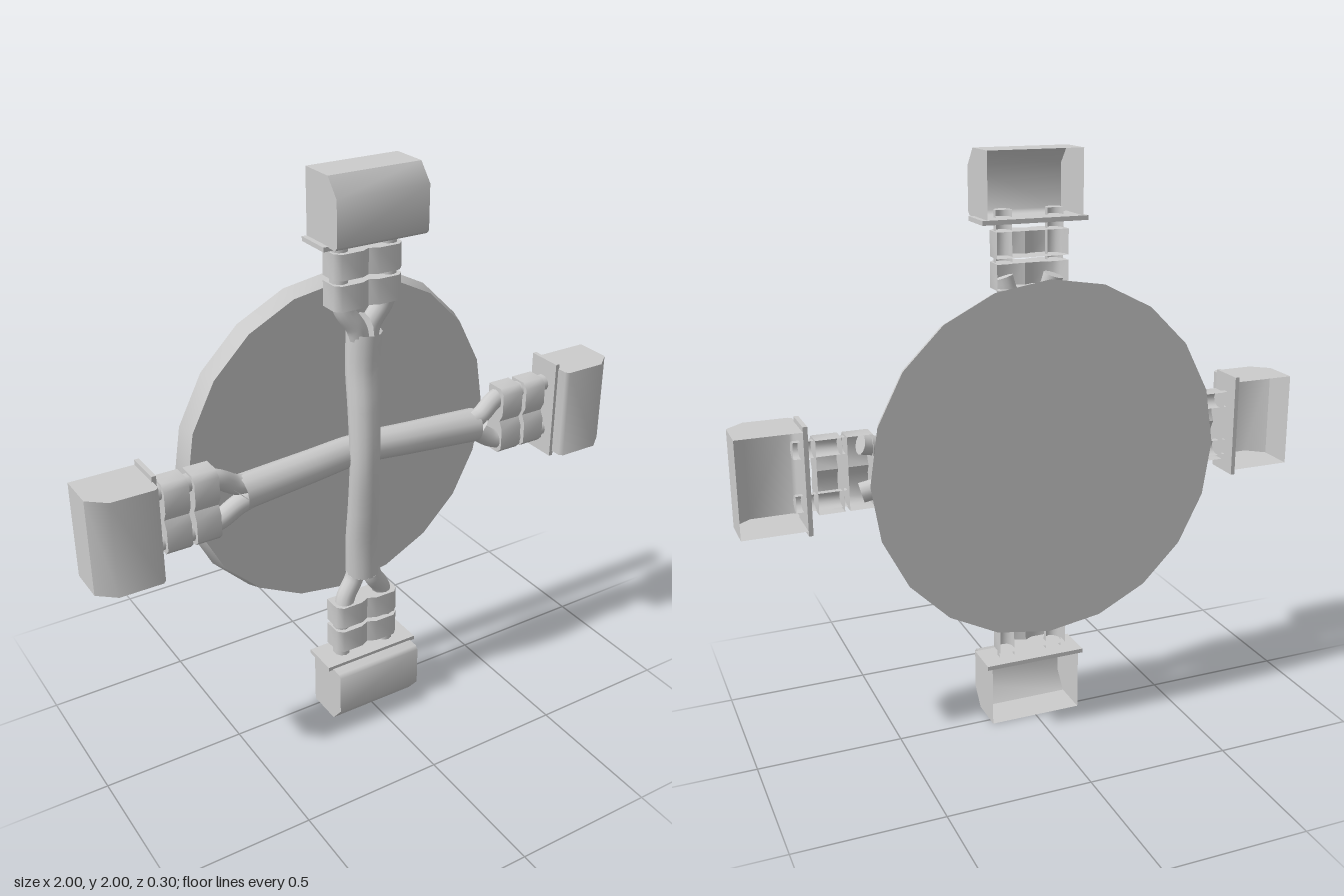
import * as THREE from 'three';
import { toCreasedNormals } from 'three/addons/utils/BufferGeometryUtils.js';

const material = new THREE.MeshStandardMaterial({ color: 0xcccccc, side: THREE.DoubleSide });
const ALONG_ARM = [[0, 1, 0], [0, 0, 1], [1, 0, 0]];
const ACROSS_ARM = [[1, 0, 0], [0, 0, 1], [0, -1, 0]];

function add(parent, name, geometry, x = 0, y = 0, z = 0) {
  const mesh = new THREE.Mesh(geometry, material);
  mesh.name = name;
  mesh.position.set(x, y, z);
  parent.add(mesh);
  return mesh;
}

// Extruded profile turned to the given axes, with its rearmost face left open
function openShell(profile, depth, axes) {
  const shape = new THREE.Shape(profile.map(([x, y]) => new THREE.Vector2(x, y)));
  const solid = new THREE.ExtrudeGeometry(shape, { depth, bevelEnabled: false });
  solid.applyMatrix4(new THREE.Matrix4().makeBasis(...axes.map(a => new THREE.Vector3(...a))));
  const p = solid.attributes.position;
  const back = Math.min(...profile.map(q => q[1]));
  const kept = [];
  for (let i = 0; i < p.count; i += 3) {
    const corners = [i, i + 1, i + 2];
    if (corners.every(k => p.getZ(k) < back + 1e-4)) continue;
    for (const k of corners) kept.push(p.getX(k), p.getY(k), p.getZ(k));
  }
  const geometry = new THREE.BufferGeometry();
  geometry.setAttribute('position', new THREE.Float32BufferAttribute(kept, 3));
  return toCreasedNormals(geometry, 0.85);
}

// Mirrors half of a profile about its middle
const mirrored = (half, middle) => [...half, middle, ...half.map(([x, y]) => [-x, y]).reverse()];

// Curved pipe with closed ends, widening from the middle to endRadius
function pipe(parent, name, points, midRadius, endRadius) {
  const sides = 12, rings = 24;
  const curve = new THREE.CatmullRomCurve3(points.map(p => new THREE.Vector3(...p)));
  const tube = new THREE.TubeGeometry(curve, rings, midRadius, sides);
  const p = tube.attributes.position, v = new THREE.Vector3();
  for (let i = 0; i < p.count; i++) {
    const t = Math.floor(i / (sides + 1)) / rings;
    const center = curve.getPointAt(t);
    const scale = 1 + (endRadius / midRadius - 1) * Math.abs(2 * t - 1);
    v.fromBufferAttribute(p, i).sub(center).multiplyScalar(scale).add(center);
    p.setXYZ(i, v.x, v.y, v.z);
  }
  add(parent, name, tube);
  for (const [t, sign] of [[0, -1], [1, 1]]) {
    const cap = add(parent, name + 'End', new THREE.CircleGeometry(endRadius, sides));
    cap.position.copy(curve.getPoint(t));
    cap.lookAt(cap.position.clone().addScaledVector(curve.getTangent(t), sign));
  }
}

// One outer assembly, built pointing along +x
function createArm() {
  const arm = new THREE.Group();
  arm.name = 'arm';

  // Open-backed container with a chamfered outer edge
  const boxProfile = [[0.782, -0.03], [1, -0.03], [1, 0.1], [0.94, 0.15], [0.794, 0.15], [0.782, 0.138]];
  add(arm, 'container', openShell(boxProfile, 0.33, ACROSS_ARM), 0, 0.165, 0);
  add(arm, 'flange', new THREE.BoxGeometry(0.015, 0.365, 0.13), 0.778, 0, 0.035);

  // Double-lobed couplers, pinched in the middle and open behind
  const lobes = mirrored([[0.125, -0.005], [0.125, 0.06], [0.105, 0.08], [0.03, 0.08]], [0, 0.065]);
  const coupler = openShell(lobes, 0.085, ALONG_ARM);
  for (const x of [0.556, 0.658]) add(arm, 'coupler', coupler, x, 0, 0);

  // Paired half-round studs and forked pipes
  const arch = mirrored([[0.028, 0.022], [0.028, 0.044], [0.017, 0.06]], [0, 0.066]);
  const stud = openShell(arch, 0.175, ALONG_ARM);
  for (const side of [1, -1]) {
    add(arm, 'stud', stud, 0.635, side * 0.09, 0);
    const tilt = side * 0.008;
    pipe(arm, 'forkPipe', [
      [0.44, side * 0.022, 0.037 + tilt], [0.48, side * 0.034, 0.037 + tilt],
      [0.54, side * 0.072, 0.036], [0.59, side * 0.086, 0.036 - tilt]
    ], 0.034, 0.034);
  }
  return arm;
}

export function createModel() {
  const model = new THREE.Group();
  model.name = 'crossAssembly';
  const body = new THREE.Group();
  body.name = 'body';
  body.position.y = 1;
  model.add(body);

  // Tapered back disc with twenty sides
  const disc = new THREE.CylinderGeometry(0.59, 0.61, 0.06, 20);
  disc.rotateX(Math.PI / 2);
  add(body, 'backDisc', toCreasedNormals(disc, 0.5), 0, 0, -0.12);

  // Crossing main pipes
  pipe(body, 'verticalPipe', [
    [0, -0.455, 0.032], [-0.006, -0.32, 0.038], [-0.01, -0.18, 0.055], [-0.015, 0, 0.07],
    [-0.01, 0.19, 0.056], [-0.004, 0.33, 0.037], [0.002, 0.46, 0.037]
  ], 0.051, 0.06);
  pipe(body, 'horizontalPipe', [
    [-0.465, 0, 0.034], [-0.2, 0.012, 0.018], [0, 0.016, 0], [0.2, 0.012, 0.018], [0.465, 0, 0.034]
  ], 0.053, 0.06);

  for (let i = 0; i < 4; i++) {
    const arm = createArm();
    arm.rotation.z = i * Math.PI / 2;
    body.add(arm);
  }
  return model;
}
